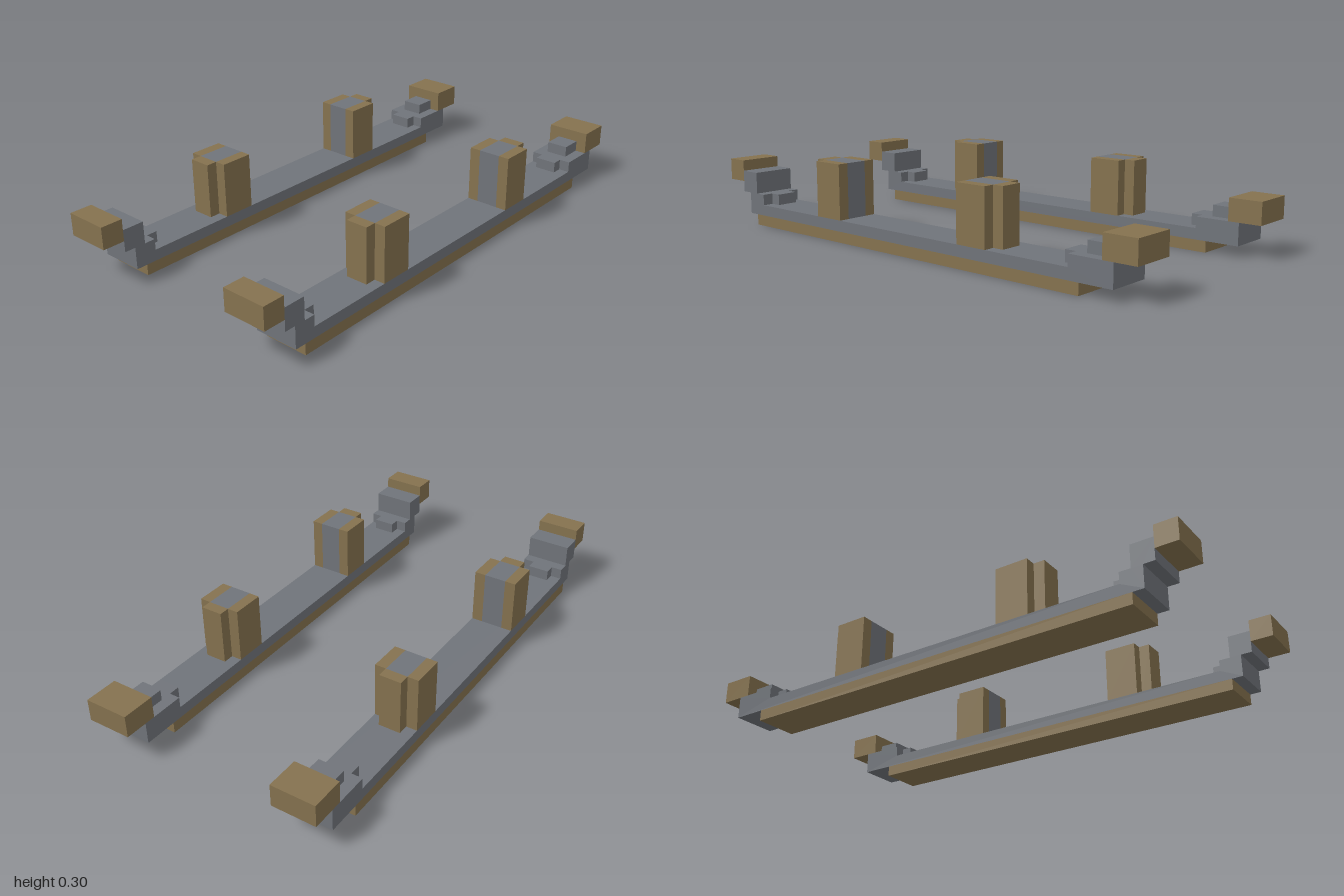
import * as THREE from 'three';

const U = 2 / 47; // one block unit; the runner is 47 units long
const wood = new THREE.MeshStandardMaterial({ color: 0x85724f });
const metal = new THREE.MeshStandardMaterial({ color: 0x70747a });

// Box in block units: x from the runner's centre line, y from the floor, k counted back from the front end
function block(name, material, [x0, x1], [y0, y1], [k0, k1]) {
  const geometry = new THREE.BoxGeometry((x1 - x0) * U, (y1 - y0) * U, (k1 - k0) * U);
  const mesh = new THREE.Mesh(geometry, material);
  mesh.position.set((x0 + x1) / 2 * U, (y0 + y1) / 2 * U, 1 - (k0 + k1) / 2 * U);
  mesh.name = name;
  return mesh;
}

// Stepped side profile (k, y) extruded across the runner's width
function deck() {
  const profile = [[3, 1], [45, 1], [45, 3], [41, 3], [41, 2], [5, 2], [5, 3], [4, 3], [4, 5], [2, 5], [2, 3], [3, 3]];
  const shape = new THREE.Shape(profile.map(([k, y]) => new THREE.Vector2(1 - k * U, y * U)));
  const geometry = new THREE.ExtrudeGeometry(shape, { depth: 4 * U, bevelEnabled: false });
  geometry.translate(0, 0, -2 * U).rotateY(-Math.PI / 2);
  const mesh = new THREE.Mesh(geometry, metal);
  mesh.name = 'deck';
  return mesh;
}

// Post with a metal core, two wooden cheeks and a wooden rib on its outward side
function post(name, body, rib) {
  const group = new THREE.Group();
  group.name = name;
  group.add(
    block('postCore', metal, [-1, 1], [2, 7], body),
    block('postCheekRight', wood, [-2, -1], [2, 7], body),
    block('postCheekLeft', wood, [1, 2], [2, 7], body),
    block('postRib', wood, [-1, 1], [2, 7], rib)
  );
  return group;
}

function runner(name) {
  const group = new THREE.Group();
  group.name = name;
  const full = [-2, 2], mid = [-1, 1];
  group.add(
    block('sole', wood, full, [0, 1], [4, 42]),
    deck(),
    // narrow steps at both ends of the deck
    block('frontStep', metal, mid, [2, 3], [5, 6]),
    block('rearStep', metal, mid, [2, 3], [40, 41]),
    block('rearUpperStep', metal, mid, [3, 4], [42, 44]),
    // raised wooden tips
    block('frontTip', wood, full, [4, 6], [0, 2]),
    block('rearTip', wood, full, [3, 5], [44, 47]),
    post('frontPost', [13, 16], [12, 13]),
    post('rearPost', [30, 33], [33, 34])
  );
  return group;
}

export function createModel() {
  const model = new THREE.Group();
  model.name = 'sledRunners';
  for (const side of [-1, 1]) {
    const part = runner(side < 0 ? 'rightRunner' : 'leftRunner');
    part.position.x = side * 9 * U;
    model.add(part);
  }
  return model;
}
